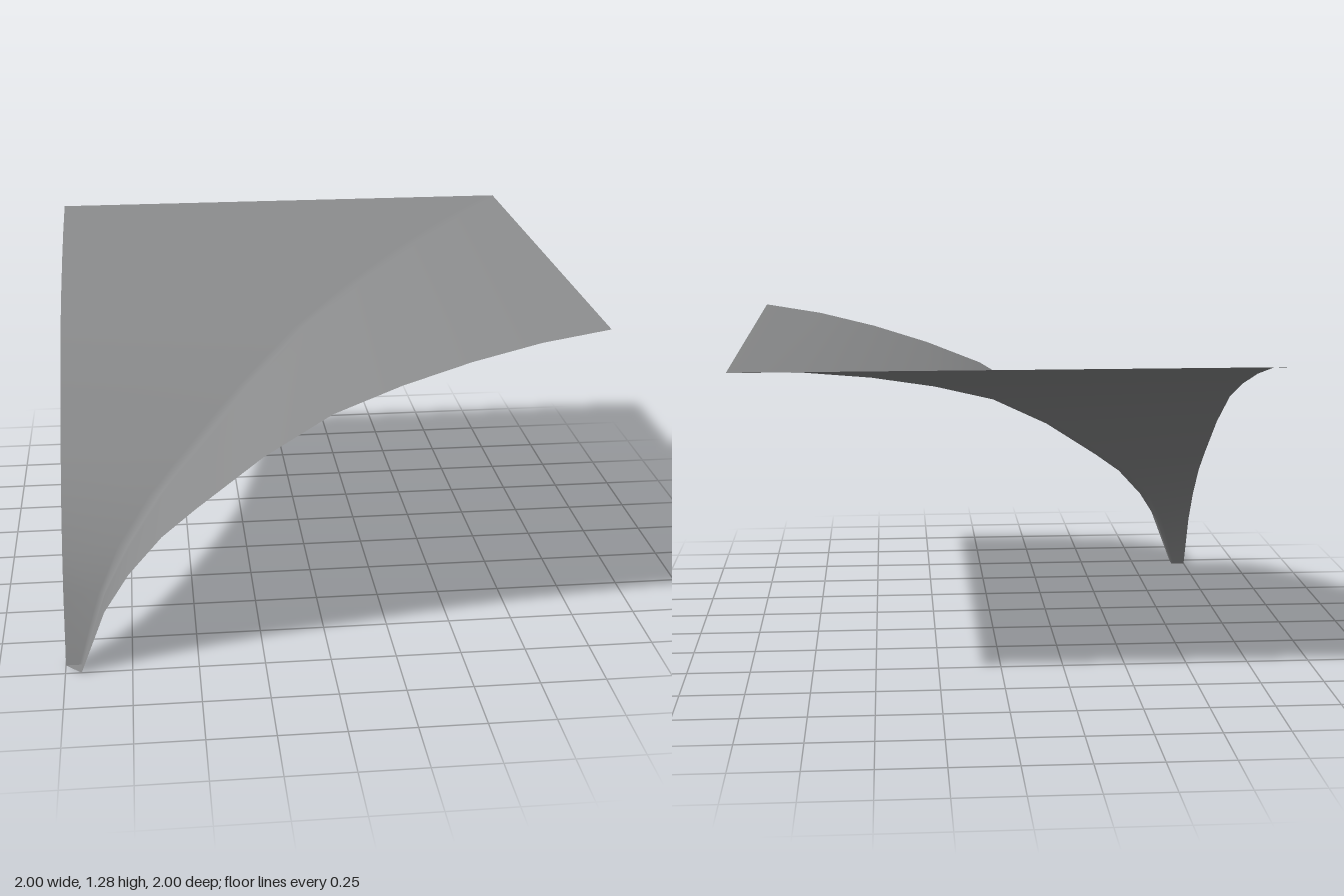
import * as THREE from 'three';

// Rising curve shared by both vault webs: [distance from the centre line, height]
const PROFILE = [
  [-0.94, 0], [-0.845, 0.25], [-0.75, 0.4], [-0.625, 0.545], [-0.5, 0.65], [-0.25, 0.845],
  [0, 1.0], [0.25, 1.1], [0.5, 1.18], [0.75, 1.243], [1, 1.285],
];

// Surface from rows of points, smooth along and across the groin
function loft(rows) {
  const n = rows[0].length;
  const index = [];
  for (let i = 0; i < rows.length - 1; i++) {
    for (let j = 0; j < n - 1; j++) {
      const a = i * n + j, b = a + 1, c = a + n, d = c + 1;
      index.push(a, b, c, b, d, c);
    }
  }
  const geometry = new THREE.BufferGeometry();
  geometry.setAttribute('position', new THREE.Float32BufferAttribute(rows.flat(2), 3));
  geometry.setIndex(index);
  geometry.computeVertexNormals();
  return geometry;
}

export function createModel() {
  const model = new THREE.Group();
  model.name = 'groinVaultQuarter';
  const stone = new THREE.MeshStandardMaterial({ color: 0x8a8b8c, side: THREE.DoubleSide });
  stone.name = 'greyStone';

  // Each level is an L: along one web, round the diagonal groin, along the other web
  const rows = PROFILE.map(([c, y]) => {
    const soft = Math.min(0.04, (c + 1) * 0.15);
    return [
      [-1, y, -c], [c - soft, y, -c], [c, y, -c], [c, y, -c + soft], [c, y, 1],
    ];
  });
  const vault = new THREE.Mesh(loft(rows), stone);
  vault.name = 'vaultWebs';
  model.add(vault);

  // Small triangular sole under the springing point
  const sole = new THREE.Shape([
    new THREE.Vector2(-1, 0.94), new THREE.Vector2(-0.94, 0.94), new THREE.Vector2(-0.94, 1),
  ]);
  const foot = new THREE.Mesh(new THREE.ShapeGeometry(sole).rotateX(Math.PI / 2), stone);
  foot.name = 'footSole';
  model.add(foot);

  return model;
}
